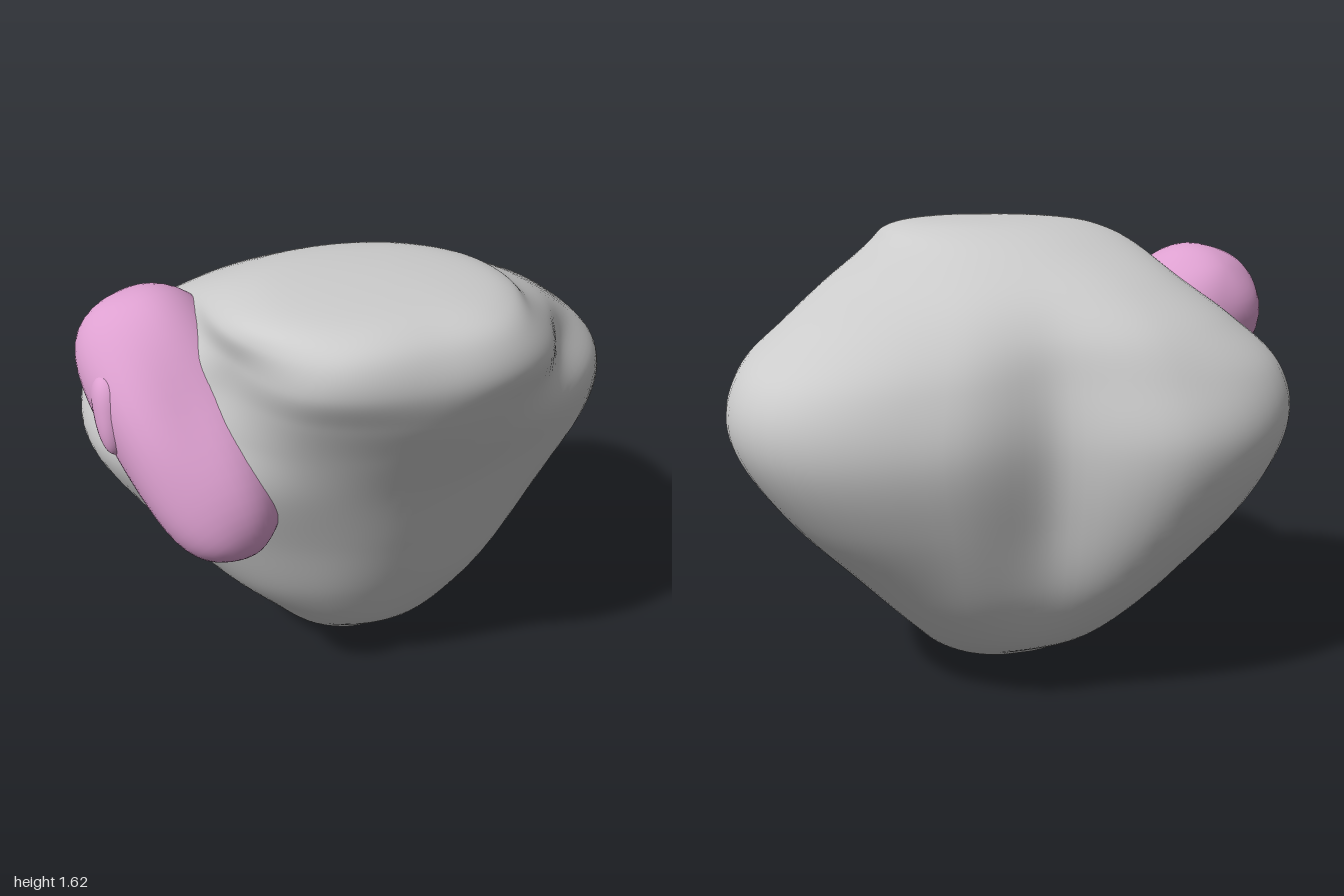
import * as THREE from 'three';
import { mergeVertices } from 'three/addons/utils/BufferGeometryUtils.js';

// Horizontal sections: [height, centre z]
const levels = [
  [0.03, -0.21], [0.1, -0.22], [0.22, -0.25], [0.43, -0.25], [0.7, -0.25], [0.95, -0.22],
  [1.15, -0.2], [1.3, -0.15], [1.42, -0.05], [1.52, 0.06], [1.58, 0.14], [1.61, 0.17],
];
// Radius of each section every 30 degrees, from +x through +z
const radii = [
  [0.16, 0.15, 0.13, 0.12, 0.13, 0.14, 0.14, 0.14, 0.13, 0.12, 0.13, 0.15],
  [0.31, 0.29, 0.25, 0.22, 0.23, 0.26, 0.26, 0.26, 0.25, 0.24, 0.27, 0.3],
  [0.42, 0.42, 0.39, 0.38, 0.38, 0.39, 0.4, 0.41, 0.41, 0.4, 0.42, 0.43],
  [0.61, 0.57, 0.52, 0.49, 0.51, 0.56, 0.6, 0.62, 0.6, 0.52, 0.58, 0.63],
  [0.84, 0.71, 0.62, 0.6, 0.61, 0.69, 0.81, 0.85, 0.75, 0.56, 0.7, 0.87],
  [0.98, 0.8, 0.68, 0.67, 0.68, 0.76, 0.94, 0.98, 0.84, 0.6, 0.78, 1.02],
  [0.95, 0.83, 0.75, 0.75, 0.73, 0.71, 0.88, 0.95, 0.78, 0.58, 0.73, 0.99],
  [0.79, 0.71, 0.75, 0.77, 0.75, 0.65, 0.74, 0.81, 0.72, 0.57, 0.65, 0.81],
  [0.62, 0.62, 0.7, 0.7, 0.72, 0.61, 0.6, 0.67, 0.63, 0.55, 0.57, 0.61],
  [0.44, 0.49, 0.57, 0.56, 0.61, 0.58, 0.55, 0.55, 0.5, 0.46, 0.45, 0.44],
  [0.37, 0.4, 0.43, 0.41, 0.46, 0.49, 0.46, 0.44, 0.4, 0.37, 0.36, 0.36],
  [0.25, 0.26, 0.27, 0.26, 0.28, 0.31, 0.31, 0.29, 0.26, 0.24, 0.24, 0.24],
];

const spline = (a, b, c, d, t) =>
  b + 0.5 * t * (c - a + t * (2 * a - 5 * b + 4 * c - d + t * (3 * (b - c) + d - a)));

// Smooth closed skin through the sections, with a rounded pole at each end
function loftGeometry(around = 96, steps = 8) {
  const row = (i, sign = 1) => ({ y: levels[i][0], z: levels[i][1], r: radii[i].map((v) => sign * v) });
  const pole = (y, z) => ({ y, z, r: new Array(12).fill(0) });
  const last = levels.length - 1;
  const rows = [row(0, -1), pole(0, -0.21), ...levels.map((_, i) => row(i)), pole(1.622, 0.18), row(last, -1)];

  const radiusAt = (r, s) => {
    const i = Math.floor(s), at = (k) => r[(i + k + 12) % 12];
    return spline(at(-1), at(0), at(1), at(2), s - i);
  };
  const positions = [], index = [];
  const rings = (rows.length - 3) * steps;
  for (let j = 0; j <= rings; j++) {
    const seg = Math.min(Math.floor(j / steps), rows.length - 4);
    const t = j / steps - seg;
    const four = rows.slice(seg, seg + 4);
    const y = spline(...four.map((q) => q.y), t);
    const cz = spline(...four.map((q) => q.z), t);
    for (let i = 0; i < around; i++) {
      const a = (i / around) * Math.PI * 2;
      const r = spline(...four.map((q) => radiusAt(q.r, (i / around) * 12)), t);
      positions.push(r * Math.cos(a), y, cz + r * Math.sin(a));
      if (j < rings) {
        const p = j * around + i, n = j * around + ((i + 1) % around);
        index.push(p, p + around, n, n, p + around, n + around);
      }
    }
  }
  const geometry = new THREE.BufferGeometry();
  geometry.setAttribute('position', new THREE.Float32BufferAttribute(positions, 3));
  geometry.setIndex(index);
  const merged = mergeVertices(geometry, 1e-5);
  merged.computeVertexNormals();
  return merged;
}

// Lumpy, slightly boxy ellipsoid along local y, narrowing towards its lower end
function noduleGeometry(width, length, depth, lump, taper) {
  let geometry = new THREE.SphereGeometry(1, 48, 32);
  geometry.deleteAttribute('uv');
  geometry.deleteAttribute('normal');
  geometry = mergeVertices(geometry, 1e-4);
  const pos = geometry.attributes.position, v = new THREE.Vector3();
  for (let i = 0; i < pos.count; i++) {
    v.fromBufferAttribute(pos, i);
    const norm = Math.pow(v.toArray().reduce((s, c) => s + Math.abs(c) ** 2.5, 0), 1 / 2.5);
    const k = (1 + lump * Math.sin(4 * v.x + 1) * Math.cos(5 * v.y) * Math.cos(3 * v.z)) / norm;
    const w = k * (1 + taper * v.y);
    pos.setXYZ(i, v.x * width * w, v.y * length * k, v.z * depth * w);
  }
  geometry.computeVertexNormals();
  return geometry;
}

export function createModel() {
  const group = new THREE.Group();
  const grey = new THREE.MeshStandardMaterial({ color: 0xcccccc });
  const pink = new THREE.MeshStandardMaterial({ color: 0xdda0d0 });

  // Main gland: broad above, two lobes behind, tapering to a blunt tip
  const gland = new THREE.Mesh(loftGeometry(), grey);
  gland.name = 'gland';
  group.add(gland);

  // Tilted nodule embedded in the upper right side
  const up = new THREE.Vector3(0, 1, 0);
  const addNodule = (name, size, lump, taper, place, axis) => {
    const mesh = new THREE.Mesh(noduleGeometry(...size, lump, taper), pink);
    mesh.name = name;
    mesh.position.set(...place);
    mesh.quaternion.setFromUnitVectors(up, new THREE.Vector3(...axis).normalize());
    group.add(mesh);
  };
  addNodule('nodule', [0.25, 0.49, 0.25], 0.04, 0.13, [-0.65, 1.1, -0.01], [-0.26, 0.72, -0.64]);
  // Small hooked lobe on its outer edge
  addNodule('noduleHook', [0.06, 0.14, 0.09], 0, 0.2, [-0.88, 1.19, 0], [0.05, 1, -0.3]);

  return group;
}
